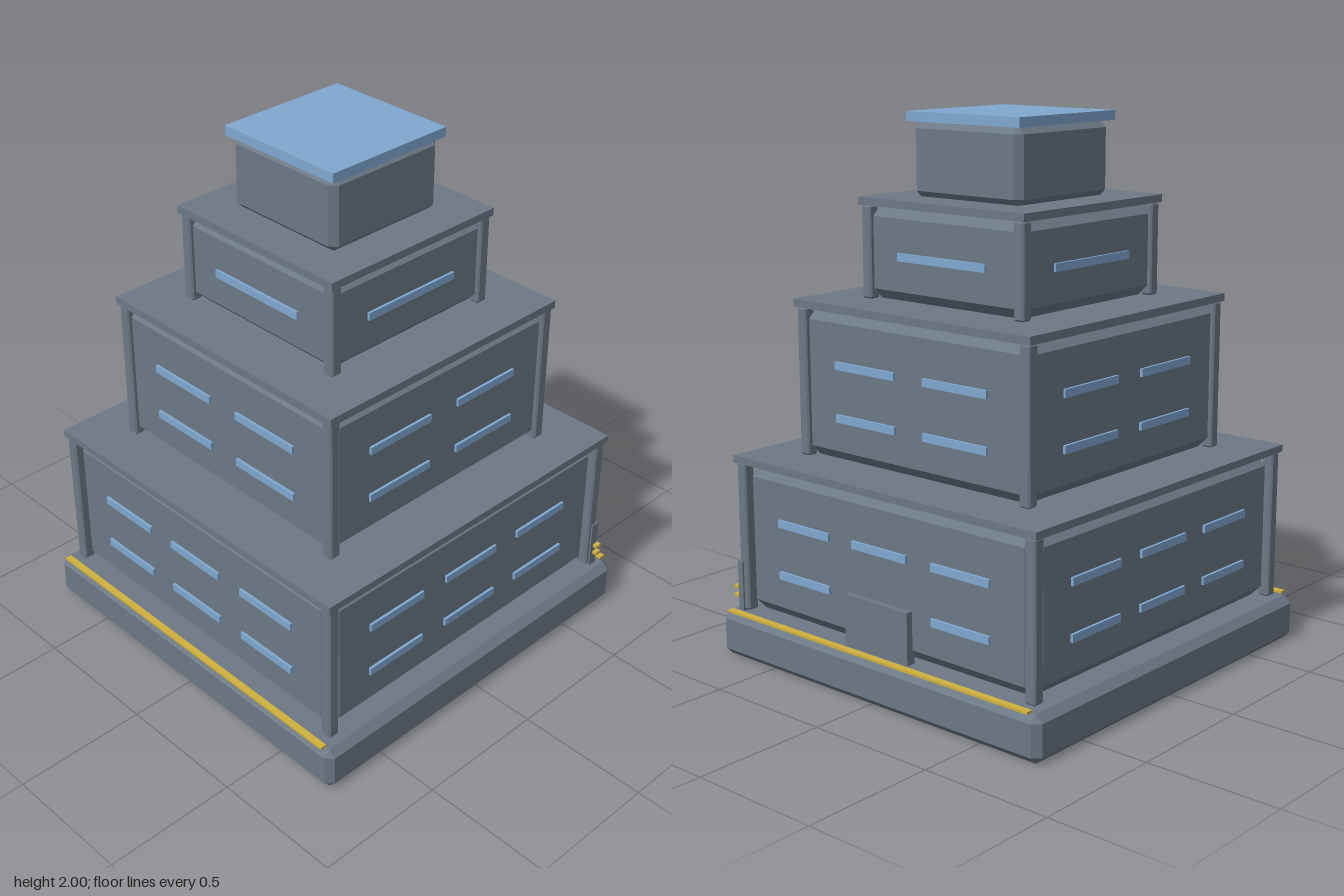
import * as THREE from 'three';
import { ConvexGeometry } from 'three/addons/geometries/ConvexGeometry.js';

// Box with flat chamfers on every edge, spanning y0..y1
function chamferBox(w, y0, y1, d, c) {
  const h = (y1 - y0) / 2, hx = w / 2, hz = d / 2, pts = [];
  for (const x of [-1, 1]) for (const y of [-1, 1]) for (const z of [-1, 1]) {
    pts.push(
      new THREE.Vector3(x * hx, y * (h - c), z * (hz - c)),
      new THREE.Vector3(x * (hx - c), y * h, z * (hz - c)),
      new THREE.Vector3(x * (hx - c), y * (h - c), z * hz));
  }
  return new ConvexGeometry(pts).translate(0, (y0 + y1) / 2, 0);
}

// Plain box from its minimum and maximum corners
function spanBox(x0, x1, y0, y1, z0, z1) {
  return new THREE.BoxGeometry(x1 - x0, y1 - y0, z1 - z0)
    .translate((x0 + x1) / 2, (y0 + y1) / 2, (z0 + z1) / 2);
}

export function createModel() {
  const concrete = new THREE.MeshStandardMaterial({ name: 'slateGrey', color: 0x6d7885 });
  const glass = new THREE.MeshStandardMaterial({ name: 'paleBlue', color: 0x7fa8d1 });
  const yellow = new THREE.MeshStandardMaterial({ name: 'safetyYellow', color: 0xd1b13c });

  const model = new THREE.Group();
  model.name = 'steppedTower';
  const add = (parent, name, geometry, material) => {
    const mesh = new THREE.Mesh(geometry, material);
    mesh.name = name;
    parent.add(mesh);
    return mesh;
  };

  // Foundation
  add(model, 'foundation', chamferBox(1.53, 0, 0.17, 1.53, 0.027), concrete);

  // Tiers: wall block, corner posts, roof slab and strip windows on all four sides
  const tiers = [
    { name: 'lowerTier', y0: 0.175, y1: 0.735, top: 0.762, wall: 0.69, bevel: 0.045,
      post: 0.71, slab: 0.718, xs: [-0.375, 0, 0.375], ys: [0.345, 0.54], width: 0.26 },
    { name: 'middleTier', y0: 0.762, y1: 1.308, top: 1.337, wall: 0.533, bevel: 0.04,
      post: 0.545, slab: 0.552, xs: [-0.212, 0.212], ys: [0.925, 1.117], width: 0.29 },
    { name: 'upperTier', y0: 1.337, y1: 1.672, top: 1.7, wall: 0.366, bevel: 0.038,
      post: 0.378, slab: 0.385, xs: [0], ys: [1.5], width: 0.41 },
  ];
  for (const t of tiers) {
    const tier = new THREE.Group();
    tier.name = t.name;
    model.add(tier);
    add(tier, 'wallBlock', chamferBox(2 * t.wall, t.y0, t.y1, 2 * t.wall, t.bevel), concrete);
    add(tier, 'roofSlab', spanBox(-t.slab, t.slab, t.y1, t.top, -t.slab, t.slab), concrete);

    const postSize = 0.045, offset = t.post - postSize / 2;
    const postGeometry = chamferBox(postSize, t.y0, t.y1, postSize, 0.006);
    for (const x of [-1, 1]) for (const z of [-1, 1]) {
      add(tier, 'cornerPost', postGeometry, concrete).position.set(x * offset, 0, z * offset);
    }

    const windowGeometry = new THREE.BoxGeometry(t.width, 0.029, 0.02);
    for (let side = 0; side < 4; side++) {
      const facade = new THREE.Group();
      facade.name = 'windowRow';
      facade.rotation.y = side * Math.PI / 2;
      tier.add(facade);
      for (const x of t.xs) for (const y of t.ys) {
        add(facade, 'window', windowGeometry, glass).position.set(x, y, t.wall);
      }
    }
  }

  // Penthouse and its glazed roof
  add(model, 'penthouse', chamferBox(0.5, 1.695, 1.967, 0.5, 0.026), concrete);
  add(model, 'glassRoof', spanBox(-0.262, 0.262, 1.965, 2, -0.262, 0.262), glass);

  // Warning stripes along the front and back edges
  for (const z of [-1, 1]) {
    add(model, 'edgeStripe', new THREE.BoxGeometry(1.445, 0.009, 0.025), yellow)
      .position.set(0, 0.1755, z * 0.752);
  }

  // Rear door, corner panel and rungs
  add(model, 'rearDoor', spanBox(-0.15, 0.15, 0.17, 0.36, -0.716, -0.68), concrete);
  add(model, 'cornerPanel', spanBox(0.69, 0.716, 0.17, 0.36, -0.716, -0.68), concrete);
  for (const y of [0.226, 0.259]) {
    add(model, 'rung', spanBox(0.712, 0.734, y - 0.006, y + 0.006, -0.72, -0.694), yellow);
  }

  return model;
}
